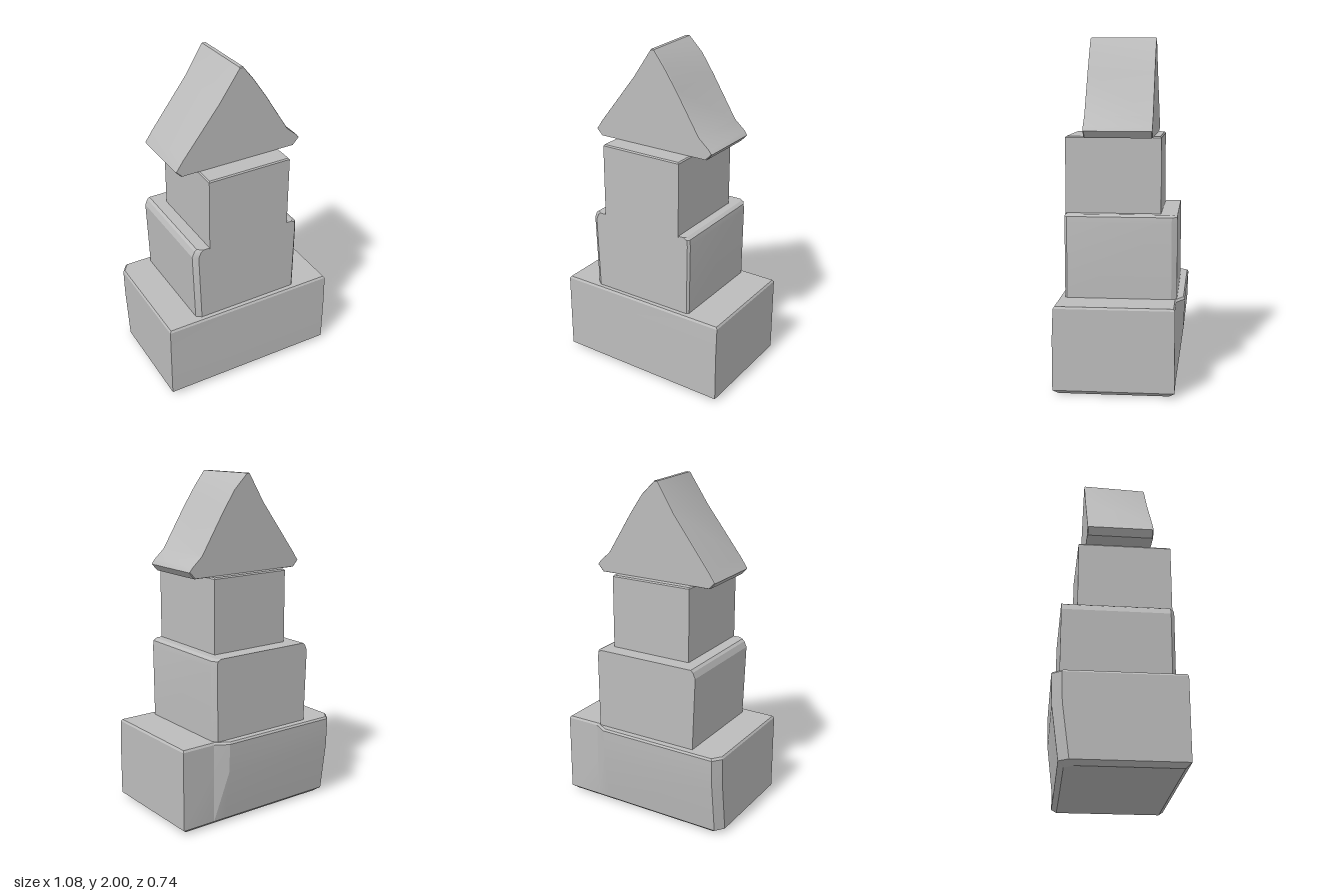
import * as THREE from 'three';
import { toCreasedNormals } from 'three/addons/utils/BufferGeometryUtils.js';

// Skin a stack of equal-length rings and close both ends with fans.
function loft(rings) {
  const n = rings[0].length, pos = [];
  const tri = (...pts) => pts.forEach((p) => pos.push(...p));
  const centre = (ring) => [0, 1, 2].map((k) => ring.reduce((s, p) => s + p[k], 0) / n);
  for (let j = 0; j < n; j++) {
    const k = (j + 1) % n;
    for (let i = 0; i < rings.length - 1; i++) {
      const a = rings[i], b = rings[i + 1];
      tri(a[j], a[k], b[k]);
      tri(a[j], b[k], b[j]);
    }
    const first = rings[0], last = rings[rings.length - 1];
    tri(centre(first), first[k], first[j]);
    tri(centre(last), last[j], last[k]);
  }
  const geometry = new THREE.BufferGeometry();
  geometry.setAttribute('position', new THREE.Float32BufferAttribute(pos, 3));
  return toCreasedNormals(geometry, 0.4);
}

// Horizontal ring at height y, pulled inwards by inset.
const level = (y, outline, inset = 0) =>
  outline.map(([x, z]) => [x - Math.sign(x) * inset, y, z - Math.sign(z) * inset]);

export function createModel() {
  const group = new THREE.Group();
  const stone = new THREE.MeshStandardMaterial({ color: 0xbcbcbc });
  stone.name = 'grey stone';
  const add = (name, rings) => {
    const mesh = new THREE.Mesh(loft(rings), stone);
    mesh.name = name;
    group.add(mesh);
  };

  // Wide base, its back swelling outwards towards the top
  const base = (bulge, front = 0.365) => [
    [0.54, front], [0.54, -0.32], [0.33, -0.32], [0.25, -0.32 - bulge],
    [-0.5, -0.324 - bulge], [-0.54, -0.27 - bulge], [-0.54, 0.354],
  ];
  add('baseBlock', [
    level(0.005, base(0), 0.03),
    level(0.03, base(0)),
    level(0.33, base(0.04)),
    level(0.5, base(0.046, 0.358)),
    level(0.512, base(0.046, 0.358), 0.008),
  ]);

  // Middle block, slightly wider at the upper left and chamfered at the top
  const middle = (left, right) => [
    [right, 0.31], [right, -0.29], [right - 0.02, -0.322],
    [left, -0.322], [left, 0.3], [left + 0.03, 0.323], [right - 0.012, 0.323],
  ];
  add('middleBlock', [
    level(0.5, middle(-0.345, 0.322)),
    level(0.95, middle(-0.36, 0.326)),
    level(0.985, middle(-0.345, 0.322)),
    level(0.997, middle(-0.33, 0.3)),
  ]);

  // Upper block, set forward on the middle block
  const upper = [[0.254, 0.325], [0.254, -0.226], [-0.26, -0.226], [-0.26, 0.325]];
  add('upperBlock', [
    level(0.99, upper), level(1.43, upper), level(1.438, upper, 0.006),
  ]);

  // Triangular roof with blunt eaves; the ridge leans left towards the back
  const roof = (z, ridge, inset = 0) => [
    [-0.365, 1.435], [0.355, 1.435], [0.392, 1.475], [0.375, 1.498], [0.31, 1.555],
    [0.16, 1.797], [0.08, 1.915], [ridge + 0.014, 2], [ridge - 0.008, 2],
    [-0.13, 1.822 + ridge * -0.6], [-0.36, 1.53], [-0.4, 1.472],
  ].map(([x, y]) => [x * (1 - inset), y - (y - 1.65) * inset, z]);
  add('roof', [
    roof(-0.182, -0.02, 0.012), roof(-0.177, -0.02),
    roof(0.2, 0), roof(0.206, 0, 0.012),
  ]);

  return group;
}
